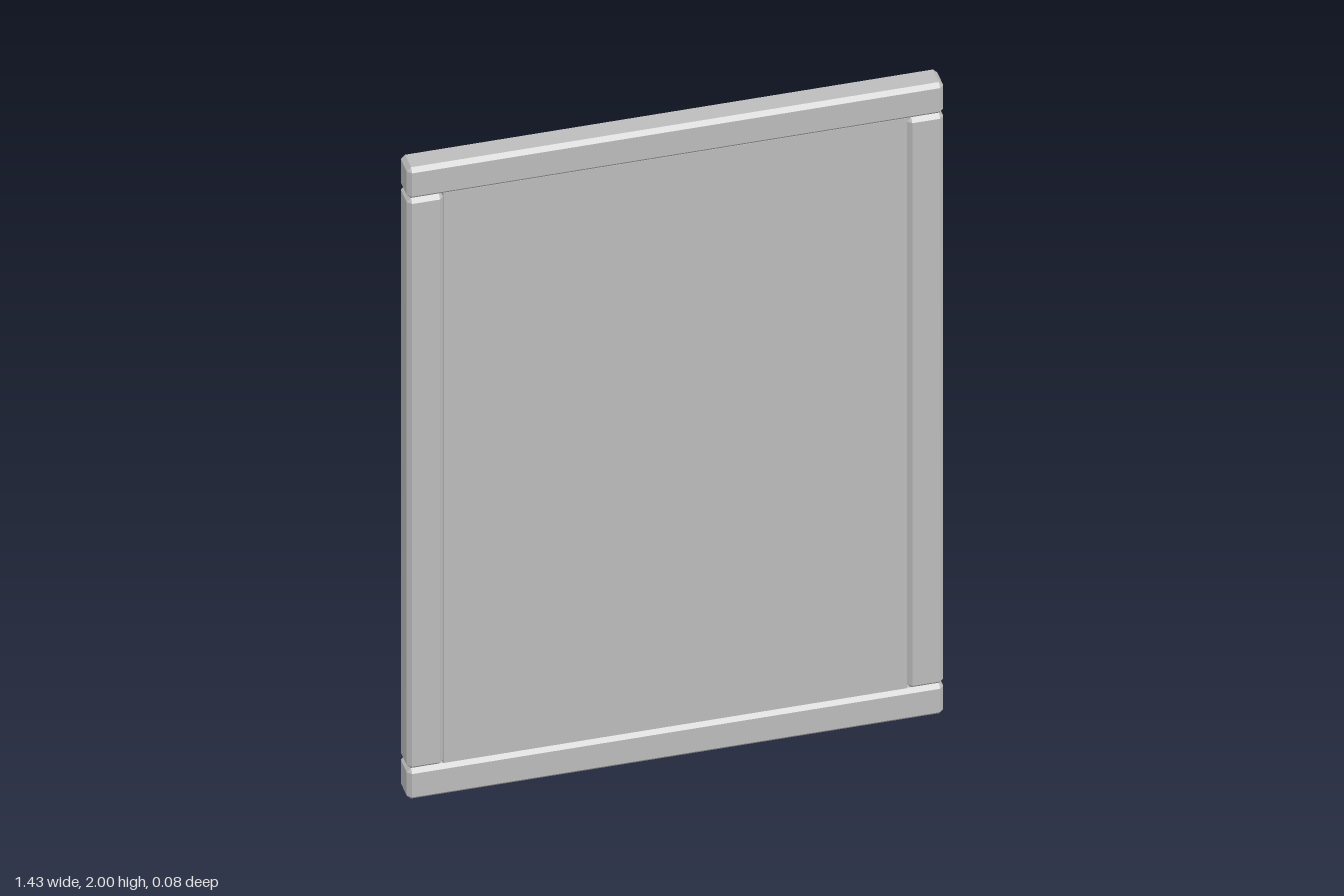
import * as THREE from 'three';
import { ConvexGeometry } from 'three/addons/geometries/ConvexGeometry.js';

// Box with every edge and corner cut by a chamfer c
function chamferedBox(w, h, d, c) {
  const points = [];
  for (const sx of [-1, 1]) for (const sy of [-1, 1]) for (const sz of [-1, 1]) {
    const x = w / 2, y = h / 2, z = d / 2;
    points.push(
      new THREE.Vector3(sx * x, sy * (y - c), sz * (z - c)),
      new THREE.Vector3(sx * (x - c), sy * y, sz * (z - c)),
      new THREE.Vector3(sx * (x - c), sy * (y - c), sz * z));
  }
  return new ConvexGeometry(points);
}

export function createModel() {
  const group = new THREE.Group();
  const grey = new THREE.MeshStandardMaterial({ color: 0xbcbcbc, side: THREE.DoubleSide });
  grey.name = 'grey';

  const add = (name, geometry, x, y, z) => {
    const mesh = new THREE.Mesh(geometry, grey);
    mesh.name = name;
    mesh.position.set(x, y, z);
    group.add(mesh);
    return mesh;
  };

  const width = 1.428, height = 2, depth = 0.08, bar = 0.097, chamfer = 0.0115;
  const innerW = width - 2 * bar, innerH = height - 2 * bar;

  // Frame: full-width rails above and below, stiles between them
  const rail = chamferedBox(width, bar, depth, chamfer);
  add('topRail', rail, 0, height - bar / 2, 0);
  add('bottomRail', rail, 0, bar / 2, 0);

  const stile = chamferedBox(bar, innerH, depth, chamfer);
  add('leftStile', stile, (width - bar) / 2, height / 2, 0);
  add('rightStile', stile, -(width - bar) / 2, height / 2, 0);

  // Panel set close to the front of the frame
  add('panel', new THREE.BoxGeometry(innerW, innerH, 0.025), 0, height / 2, 0.0175);

  // Thin sheet in the recess at the back
  add('backSheet', new THREE.PlaneGeometry(0.95, 1.52), 0, height / 2, -0.03).rotation.y = Math.PI;

  return group;
}
